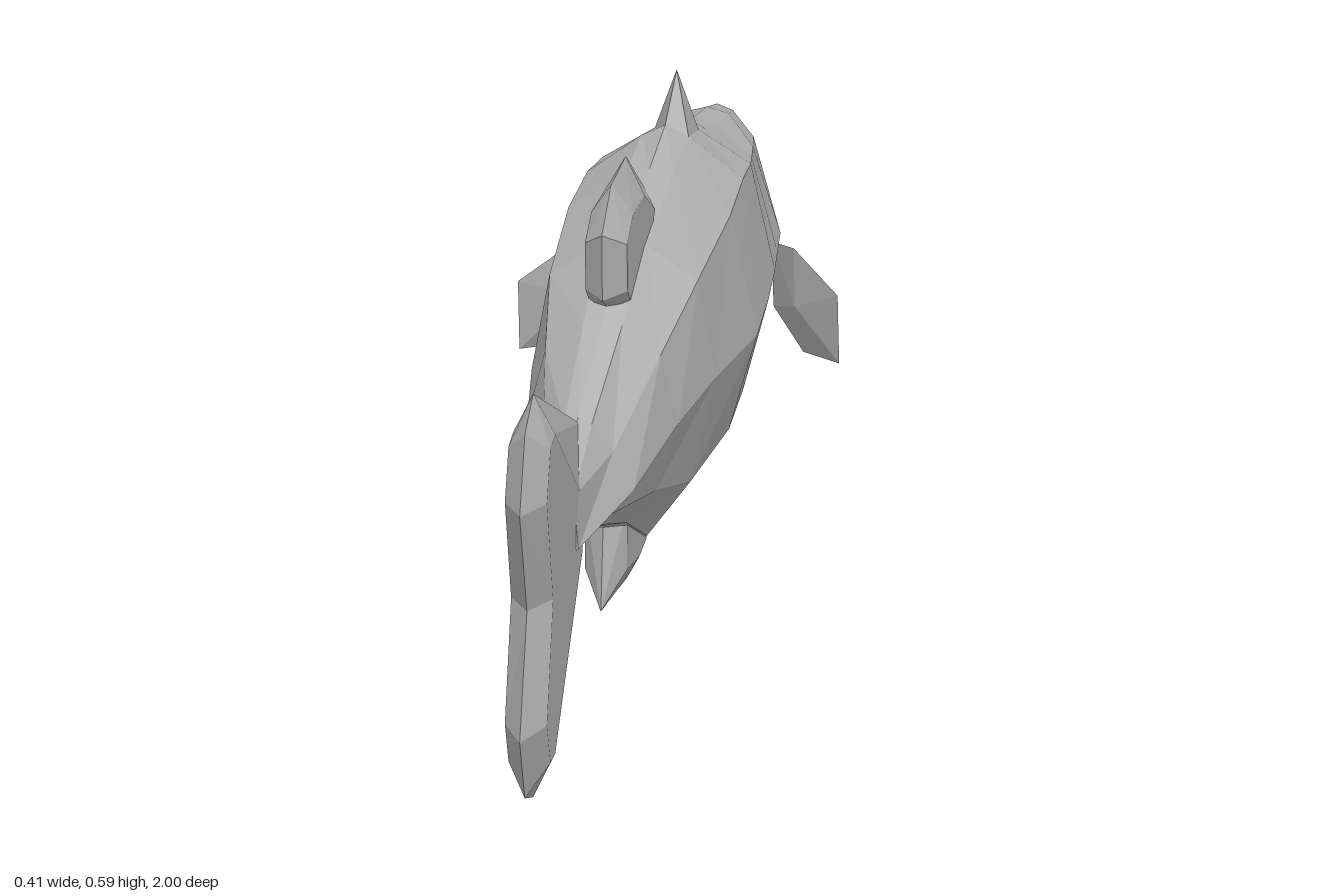
import * as THREE from 'three';

const skin = new THREE.MeshStandardMaterial({ color: 0xb4b4b4 });
skin.name = 'grey skin';
skin.flatShading = true;
skin.side = THREE.DoubleSide;

// Flat-shaded mesh from a list of triangles of [x, y, z] points
function facetMesh(name, tris) {
  const geo = new THREE.BufferGeometry();
  geo.setAttribute('position', new THREE.Float32BufferAttribute(tris.flat(2), 3));
  geo.computeVertexNormals();
  const mesh = new THREE.Mesh(geo, skin);
  mesh.name = name;
  return mesh;
}

// Mirror a half section (centre top to centre bottom) into a closed ring
function ring(z, half) {
  const left = half.map(([x, y, dz = 0]) => [x, y, z + dz]);
  const right = left.filter(p => p[0] > 0).reverse().map(([x, y, w]) => [-x, y, w]);
  return [...left, ...right];
}

// Skin closed rings listed from nose to tail, capping both ends
function loft(name, rings) {
  const tris = [], n = rings[0].length;
  for (let r = 0; r < rings.length - 1; r++) {
    for (let i = 0; i < n; i++) {
      const j = (i + 1) % n, a = rings[r], b = rings[r + 1];
      tris.push([a[i], b[j], b[i]], [a[i], a[j], b[j]]);
    }
  }
  const first = rings[0], last = rings[rings.length - 1];
  for (let i = 1; i < n - 1; i++) {
    tris.push([first[0], first[i + 1], first[i]], [last[0], last[i], last[i + 1]]);
  }
  return facetMesh(name, tris);
}

// Bevelled fin: sharp rim at x = 0, thicker face at x = +-t; points are [z, y]
function fin(name, rim, face, t) {
  const tris = [], n = rim.length;
  const caps = THREE.ShapeUtils.triangulateShape(face.map(p => new THREE.Vector2(...p)), []);
  const ccw = THREE.ShapeUtils.area(rim.map(p => new THREE.Vector2(...p))) > 0;
  for (const s of [1, -1]) {
    const at = ([z, y], x) => [x * s, y, z];
    // (z, y) seen from +x is mirrored, so a counter-clockwise outline is flipped
    const add = (a, b, c) => tris.push((s > 0) === ccw ? [a, c, b] : [a, b, c]);
    for (let i = 0; i < n; i++) {
      const j = (i + 1) % n;
      add(at(rim[i], 0), at(rim[j], 0), at(face[j], t));
      add(at(rim[i], 0), at(face[j], t), at(face[i], t));
    }
    for (const c of caps) add(...c.map(k => at(face[k], t)));
  }
  return facetMesh(name, tris);
}

export function createModel() {
  const fish = new THREE.Group();
  fish.name = 'fish';

  // Body sections: z, top y, then ridge, shoulder, flank, belly, keel [x, y], bottom y
  const sections = [
    [-0.9, 0.328, [0.02, 0.32], [0.042, 0.285], [0.06, 0.22], [0.048, 0.15], [0.022, 0.115], 0.108],
    [-0.8, 0.36, [0.028, 0.352], [0.06, 0.322], [0.082, 0.23], [0.065, 0.13], [0.025, 0.09], 0.083],
    [-0.66, 0.395, [0.03, 0.385], [0.078, 0.36], [0.113, 0.245], [0.085, 0.13], [0.03, 0.075], 0.068],
    [-0.58, 0.425, [0.03, 0.41], [0.087, 0.375], [0.12, 0.248], [0.09, 0.128], [0.03, 0.07], 0.06],
    [-0.51, 0.515, [0.028, 0.435], [0.095, 0.392], [0.126, 0.25], [0.095, 0.128], [0.03, 0.065], 0.053],
    [-0.4, 0.48, [0.03, 0.465], [0.1, 0.412], [0.133, 0.252], [0.1, 0.127], [0.03, 0.06], 0.045],
    [-0.25, 0.475, [0.03, 0.47], [0.104, 0.418], [0.138, 0.257], [0.102, 0.128], [0.03, 0.06], 0.043],
    [0, 0.468, [0.03, 0.462], [0.095, 0.418], [0.118, 0.288], [0.085, 0.145], [0.03, 0.07], 0.055],
    [0.2, 0.432, [0.025, 0.427], [0.074, 0.388], [0.097, 0.297], [0.068, 0.205], [0.03, 0.16], 0.152],
    [0.44, 0.386, [0.018, 0.38], [0.045, 0.343], [0.072, 0.292], [0.042, 0.258], [0.018, 0.242], 0.236],
    [0.66, 0.37, [0.008, 0.367], [0.024, 0.36], [0.03, 0.29], [0.02, 0.283], [0.008, 0.281], 0.28],
  ];
  fish.add(loft('body', sections.map(([z, top, ...rest]) => {
    const bottom = rest.pop();
    return ring(z, [[0, top], ...rest, [0, bottom]]);
  })));

  // Jaws, parted by a small mouth opening
  fish.add(loft('upperJaw', [
    ring(-0.99, [[0, 0.262], [0.006, 0.258], [0.01, 0.25], [0.012, 0.243], [0, 0.24, -0.01]]),
    ring(-0.95, [[0, 0.3], [0.014, 0.292], [0.027, 0.268], [0.036, 0.232], [0, 0.228]]),
    ring(-0.9, [[0, 0.328], [0.02, 0.32], [0.042, 0.285], [0.06, 0.22], [0, 0.218]]),
  ]));
  fish.add(loft('lowerJaw', [
    ring(-0.985, [[0, 0.2, -0.01], [0.012, 0.198], [0.01, 0.186], [0.005, 0.18], [0, 0.178]]),
    ring(-0.95, [[0, 0.208], [0.034, 0.208], [0.028, 0.165], [0.014, 0.142], [0, 0.137]]),
    ring(-0.9, [[0, 0.218], [0.06, 0.22], [0.048, 0.15], [0.022, 0.115], [0, 0.108]]),
  ]));

  // Forked tail, mirrored about its centre line
  const centre = 0.302;
  const fork = half => [...half, ...half.slice(0, -1).reverse().map(([z, y]) => [z, 2 * centre - y])];
  fish.add(fin('tailFin',
    fork([[0.42, 0.372], [0.87, 0.575], [0.95, 0.548], [1, 0.455], [0.93, centre]]),
    fork([[0.6, 0.34], [0.86, 0.518], [0.905, 0.515], [0.94, 0.452], [0.88, centre]]), 0.027));

  // Back fin and belly fin
  fish.add(fin('backFin',
    [[-0.19, 0.473], [-0.02, 0.575], [0.12, 0.587], [0.21, 0.55], [0.205, 0.46], [0.14, 0.425], [-0.05, 0.44]],
    [[-0.1, 0.475], [0, 0.53], [0.11, 0.545], [0.17, 0.525], [0.165, 0.46], [0.12, 0.425], [-0.04, 0.44]], 0.027));
  fish.add(fin('bellyFin',
    [[-0.05, 0.08], [-0.03, 0.0], [0.05, 0.015], [0.22, 0.045], [0.195, 0.165], [0.1, 0.17]],
    [[-0.03, 0.09], [-0.015, 0.06], [0.05, 0.06], [0.17, 0.085], [0.165, 0.17], [0.1, 0.17]], 0.027));

  // Side fins: thin leaves swept outwards and back
  const leaf = [
    [0.1, 0.225, -0.68], [0.138, 0.247, -0.6], [0.205, 0.215, -0.52],
    [0.205, 0.118, -0.535], [0.145, 0.093, -0.64], [0.1, 0.135, -0.69],
  ];
  for (const s of [1, -1]) {
    const pts = leaf.map(([x, y, z]) => [x * s, y, z]);
    const outer = [0.157 * s, 0.17, -0.63], inner = [0.14 * s, 0.17, -0.595];
    const tris = pts.flatMap((p, i) => {
      const q = pts[(i + 1) % pts.length];
      return s > 0 ? [[outer, p, q], [inner, q, p]] : [[outer, q, p], [inner, p, q]];
    });
    fish.add(facetMesh(s > 0 ? 'leftSideFin' : 'rightSideFin', tris));
  }
  return fish;
}
